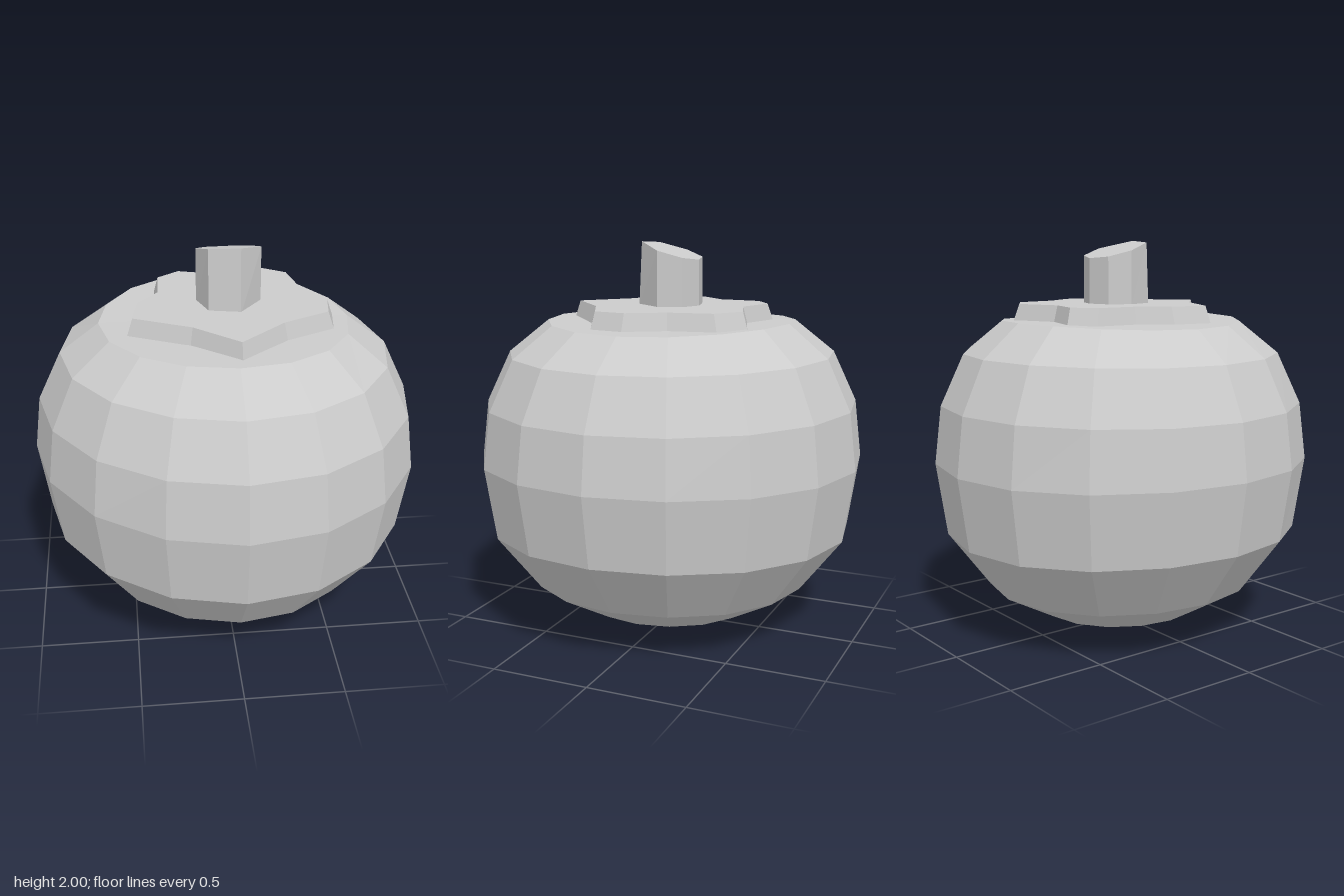
import * as THREE from 'three';

const material = new THREE.MeshStandardMaterial({ color: 0xcccccc, flatShading: true });

// Joins rings of points (bottom to top, counterclockwise from above) and closes both ends with fans.
function loft(name, rings) {
  const pos = [];
  const tri = (...pts) => pts.forEach((p) => pos.push(...p));
  const centre = (ring) => [0, 1, 2].map((k) => ring.reduce((s, p) => s + p[k], 0) / ring.length);
  const n = rings[0].length;
  const first = rings[0], last = rings[rings.length - 1];
  const low = centre(first), high = centre(last);
  for (let i = 0; i < n; i++) {
    const j = (i + 1) % n;
    for (let r = 0; r < rings.length - 1; r++) {
      const a = rings[r], b = rings[r + 1];
      tri(a[i], a[j], b[j]);
      tri(a[i], b[j], b[i]);
    }
    tri(low, first[j], first[i]);
    tri(high, last[i], last[j]);
  }
  const geometry = new THREE.BufferGeometry();
  geometry.setAttribute('position', new THREE.Float32BufferAttribute(pos, 3));
  geometry.computeVertexNormals();
  const mesh = new THREE.Mesh(geometry, material);
  mesh.name = name;
  return mesh;
}

// Fruit: 16-sided rings, slightly stretched along one diagonal and gently warped in height.
function createFruit() {
  const profile = [
    [0.02, 0.003, 0], [0.21, 0.03, 0], [0.435, 0.095, -0.004], [0.71, 0.25, -0.01], [0.925, 0.535, -0.015],
    [0.98, 0.9, -0.01], [0.945, 1.185, 0], [0.825, 1.44, 0.003], [0.625, 1.598, 0.01],
  ];
  const rings = profile.map(([r, y, warp]) =>
    Array.from({ length: 16 }, (_, i) => {
      const t = (i / 16) * Math.PI * 2;
      const s = Math.sin(t), c = Math.cos(t);
      return [r * (s + 0.02 * c), y + warp * Math.cos(2 * t), r * (c + 0.02 * s)];
    }));
  return loft('fruit', rings);
}

// Calyx: wavy leaf plate with sloping rim.
function createCalyx() {
  const outline = [
    [-0.21, -0.475], [0, -0.41], [0.24, -0.495], [0.39, -0.395], [0.43, -0.16], [0.545, 0.025], [0.52, 0.2],
    [0.275, 0.32], [0.035, 0.54], [-0.19, 0.335], [-0.485, 0.19], [-0.455, -0.015], [-0.34, -0.16], [-0.33, -0.385],
  ].reverse();
  const ring = (y, k) => outline.map(([x, z]) => [0.02 + (x - 0.02) * k, y, z * k]);
  return loft('calyx', [ring(1.6, 1), ring(1.685, 0.945)]);
}

// Stem: seven-sided post, cut on a slant that rises to the front.
function createStem() {
  const outline = [
    [0.04, -0.165], [0.15, -0.12], [0.185, 0], [0.07, 0.135], [-0.085, 0.105], [-0.135, -0.03], [-0.08, -0.135],
  ].reverse();
  const base = outline.map(([x, z]) => [x, 1.67, z > 0 ? z * 1.12 : z]);
  const top = outline.map(([x, z]) => [x, 1.961 + 0.29 * z, z]);
  return loft('stem', [base, top]);
}

export function createModel() {
  const group = new THREE.Group();
  group.name = 'persimmon';
  group.add(createFruit(), createCalyx(), createStem());
  return group;
}
